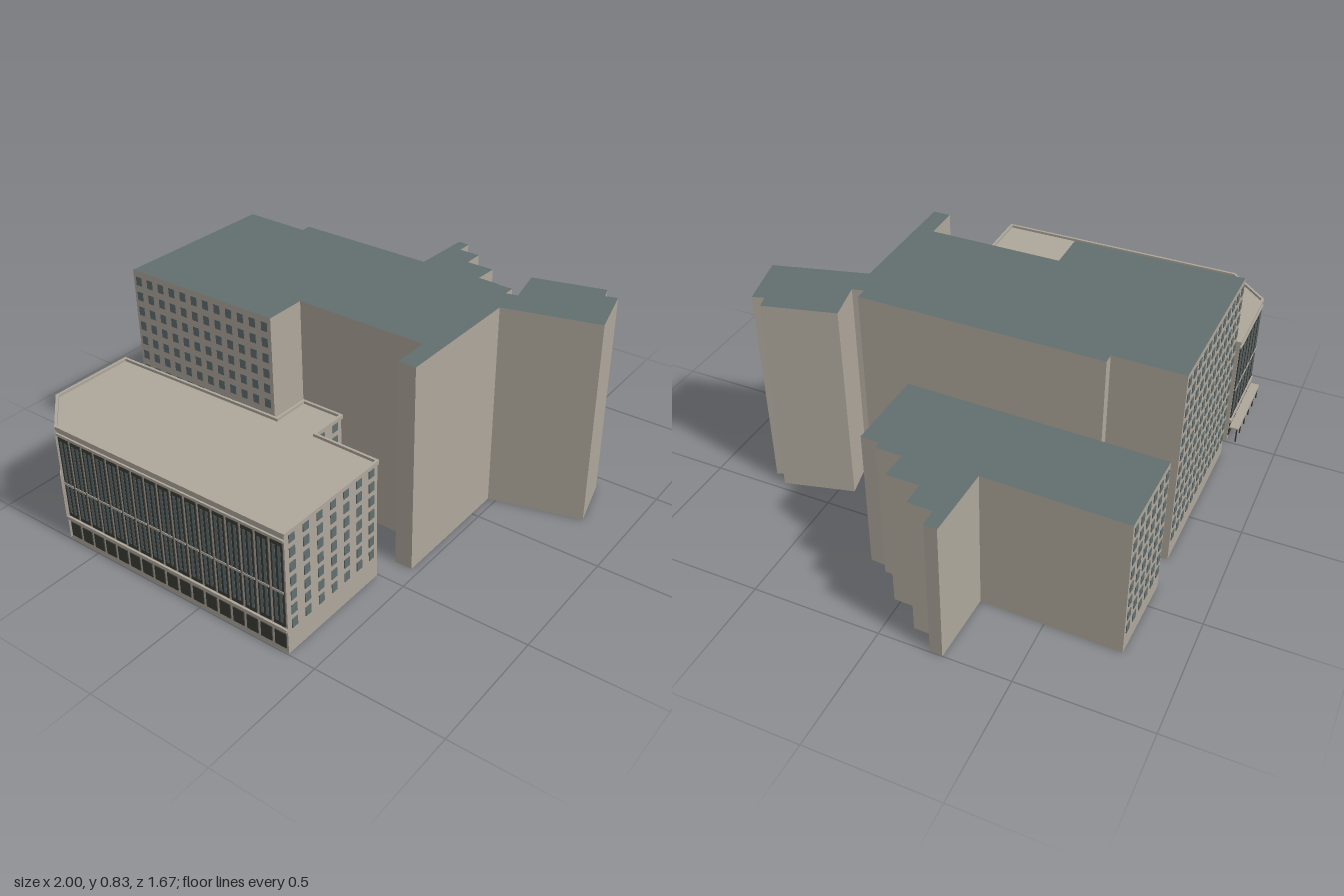
import * as THREE from 'three';
import { mergeGeometries } from 'three/addons/utils/BufferGeometryUtils.js';

const mat = (name, color) => {
  const m = new THREE.MeshStandardMaterial({ color, side: THREE.DoubleSide });
  m.name = name;
  return m;
};

export function createModel() {
  const stone = mat('stone', 0xaea79b);
  const slate = mat('slate', 0x626e6f);
  const dark = mat('darkFrame', 0x3b3b37);
  const root = new THREE.Group();

  const add = (parent, name, geos, material) => {
    const mesh = new THREE.Mesh(mergeGeometries(geos), material);
    mesh.name = name;
    parent.add(mesh);
  };

  // Direction, length and outward-facing turn of one wall of a footprint
  const edge = (pts, i) => {
    const [ax, az] = pts[i], [bx, bz] = pts[(i + 1) % pts.length];
    const len = Math.hypot(bx - ax, bz - az);
    const dx = (bx - ax) / len, dz = (bz - az) / len;
    return { ax, az, dx, dz, len, turn: Math.atan2(dz, -dx) };
  };

  // Places a geometry on a wall: u along it, y up, out = offset outwards
  const onWall = (geo, e, u, y, out = 0) => geo.rotateY(e.turn).translate(
    e.ax + e.dx * u + e.dz * out, y, e.az + e.dz * u - e.dx * out);
  const plate = (e, u, y, w, h, t = 0.006, out = 0) =>
    onWall(new THREE.BoxGeometry(w, h, t), e, u, y, out);

  // Hollow building shell: wall planes and a flat roof, open underneath
  const shell = (name, pts, height, roofY, roofMat) => {
    const group = new THREE.Group();
    group.name = name;
    root.add(group);
    add(group, 'walls', pts.map((p, i) => {
      const e = edge(pts, i);
      return onWall(new THREE.PlaneGeometry(e.len, height), e, e.len / 2, height / 2);
    }), stone);
    const shape = new THREE.Shape(pts.map(([x, z]) => new THREE.Vector2(x, -z)));
    add(group, 'roof', [new THREE.ShapeGeometry(shape).rotateX(-Math.PI / 2).translate(0, roofY, 0)], roofMat);
    return group;
  };

  // Regular grid of small windows on one wall
  const windowGrid = (e, cols, rows, y0, y1, w = 0.028, h = 0.036) => {
    const out = [];
    for (let c = 0; c < cols; c++)
      for (let r = 0; r < rows; r++)
        out.push(plate(e, e.len * (c + 0.5) / cols, y0 + (y1 - y0) * r / (rows - 1), w, h));
    return out;
  };

  // Main tower with front wing and turned annex
  const towerPts = [
    [-0.42, -0.8], [0.25, -0.79], [0.245, -0.52], [0.285, -0.52], [0.275, 0.43], [0.23, 0.43],
    [0.24, 0.475], [0.4, 0.44], [0.47, 0.715], [0.42, 0.73], [0.433, 0.775], [0.215, 0.83],
    [0.12, 0.47], [-0.405, 0.47], [-0.405, 0.4], [-0.26, 0.4], [-0.255, -0.13], [-0.42, -0.13]];
  const tower = shell('tower', towerPts, 0.83, 0.83, slate);
  add(tower, 'towerWindows', [
    ...windowGrid(edge(towerPts, 0), 12, 12, 0.1, 0.79),
    ...windowGrid(edge(towerPts, 17), 12, 12, 0.1, 0.79)], slate);

  // Lower stepped building
  const steppedPts = [
    [0.395, -0.8], [0.735, -0.79], [0.72, -0.255], [1, -0.245], [0.995, -0.195], [0.93, -0.195],
    [0.928, -0.1], [0.84, -0.1], [0.838, 0.025], [0.735, 0.02], [0.732, 0.12], [0.705, 0.12],
    [0.7, 0.195], [0.37, 0.19]];
  const stepped = shell('steppedBuilding', steppedPts, 0.58, 0.58, slate);
  add(stepped, 'steppedWindows', [
    ...windowGrid(edge(steppedPts, 0), 6, 8, 0.1, 0.54),
    ...windowGrid(edge(steppedPts, 13), 17, 8, 0.1, 0.54)], slate);

  // Old hall with cut corner and side connector
  const hallPts = [
    [-0.995, -0.64], [-0.85, -0.798], [-0.51, -0.798], [-0.5, -0.05], [-0.35, -0.05],
    [-0.35, 0.12], [-0.5, 0.12], [-0.505, 0.39], [-0.995, 0.39]];
  const hall = shell('hall', hallPts, 0.49, 0.482, stone);
  add(hall, 'parapet', hallPts.map((p, i) => {
    const e = edge(hallPts, i);
    return plate(e, e.len / 2, 0.485, e.len + 0.008, 0.016, 0.01);
  }), stone);
  add(hall, 'hallWindows', [
    ...windowGrid(edge(hallPts, 7), 7, 7, 0.115, 0.46),
    ...windowGrid(edge(hallPts, 5), 2, 7, 0.115, 0.46)], slate);

  // Tall framed bays on the street fronts
  const frames = [], panes = [], bands = [];
  for (const [i, bays] of [[8, 17], [1, 6]]) {
    const e = edge(hallPts, i), step = e.len / bays;
    for (let b = 0; b < bays; b++) {
      const u = step * (b + 0.5);
      frames.push(plate(e, u, 0.282, step * 0.8, 0.34, 0.004, 0.002));
      frames.push(plate(e, u, 0.052, step * 0.78, 0.06, 0.004, 0.002));
      for (const s of [-1, 1])
        panes.push(plate(e, u + s * step * 0.18, 0.282, step * 0.2, 0.31, 0.01));
      bands.push(plate(e, u, 0.255, step * 0.8, 0.008, 0.014));
    }
    bands.push(plate(e, e.len / 2, 0.098, e.len, 0.014, 0.016));
    bands.push(plate(e, e.len / 2, 0.462, e.len, 0.01, 0.014));
  }

  // Corner entrance: tall window above a projecting portal
  const c = edge(hallPts, 0), mid = c.len / 2;
  frames.push(plate(c, mid, 0.37, 0.13, 0.19, 0.004, 0.003));
  panes.push(plate(c, mid, 0.37, 0.11, 0.18, 0.01, 0.001));
  bands.push(plate(c, mid, 0.165, 0.13, 0.19, 0.024, 0.004));
  bands.push(onWall(new THREE.CylinderGeometry(0.05, 0.05, 0.024, 16, 1, false, Math.PI / 2, Math.PI)
    .rotateX(-Math.PI / 2), c, mid, 0.258, 0.004));
  frames.push(plate(c, mid, 0.175, 0.075, 0.14, 0.004, 0.017));
  panes.push(plate(c, mid, 0.18, 0.035, 0.11, 0.004, 0.019));
  frames.push(plate(c, mid, 0.035, 0.16, 0.06, 0.004, 0.003));
  for (const s of [-1, 1]) bands.push(plate(c, mid + s * 0.09, 0.24, 0.02, 0.47, 0.016));
  add(hall, 'bayFrames', frames, dark);
  add(hall, 'bayPanes', panes, slate);
  add(hall, 'stoneTrim', bands, stone);

  // Canopy on thin posts along the back
  const canopy = new THREE.Group();
  canopy.name = 'canopy';
  root.add(canopy);
  add(canopy, 'canopyRoof', [
    new THREE.BoxGeometry(0.335, 0.006, 0.04).translate(-0.68, 0.066, -0.818),
    new THREE.BoxGeometry(0.335, 0.012, 0.004).translate(-0.68, 0.06, -0.837)], stone);
  const posts = [];
  for (let i = 0; i < 6; i++)
    posts.push(new THREE.BoxGeometry(0.005, 0.064, 0.005).translate(-0.845 + i * 0.066, 0.032, -0.833));
  add(canopy, 'canopyPosts', posts, dark);

  return root;
}
